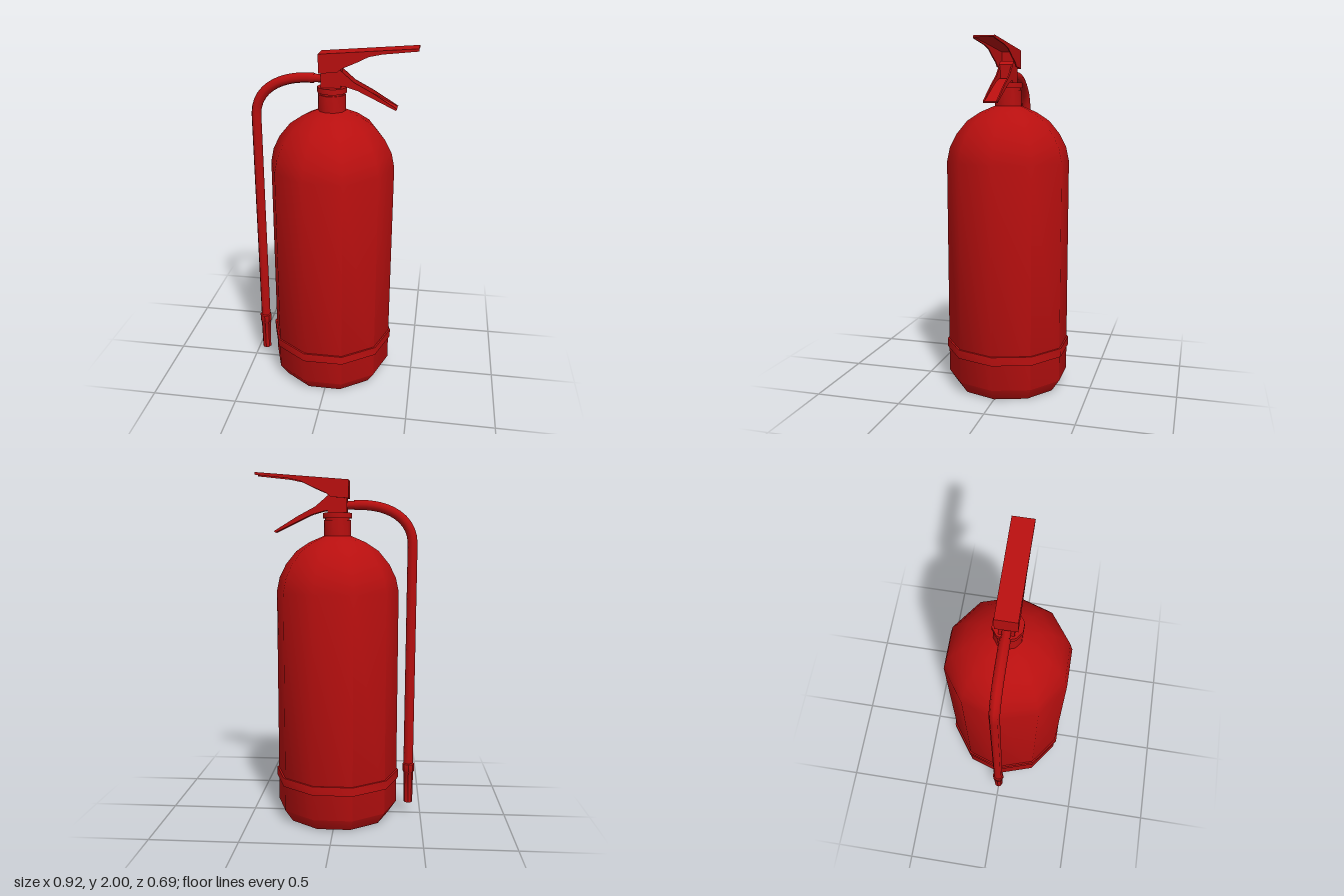
import * as THREE from 'three';
import { toCreasedNormals } from 'three/addons/utils/BufferGeometryUtils.js';

const red = new THREE.MeshStandardMaterial({ color: 0xb80f0f });
const redThin = new THREE.MeshStandardMaterial({ color: 0xb80f0f, side: THREE.DoubleSide });

export function createModel() {
  const model = new THREE.Group();

  const add = (name, geometry, material = red, parent = model) => {
    const mesh = new THREE.Mesh(geometry, material);
    mesh.name = name;
    parent.add(mesh);
    return mesh;
  };

  // Turned part with its corners on the x axis
  const lathe = (points, sides) => toCreasedNormals(
    new THREE.LatheGeometry(points.map(([r, y]) => new THREE.Vector2(r, y)), sides, Math.PI / 2), 0.7);

  // Side outline in x and y, extruded evenly about z = 0
  const plate = (points, depth) => {
    const shape = new THREE.Shape(points.map(([x, y]) => new THREE.Vector2(x, y)));
    return new THREE.ExtrudeGeometry(shape, { depth, bevelEnabled: false }).translate(0, 0, -depth / 2);
  };

  // Cylinder with chamfered foot and rounded shoulder
  add('tank', lathe([
    [0, 0], [0.305, 0], [0.353, 0.07], [0.353, 1.33], [0.336, 1.41], [0.298, 1.485],
    [0.237, 1.56], [0.162, 1.61], [0.08, 1.645], [0, 1.66],
  ], 10)).position.x = -0.003;

  // Raised band near the foot
  add('baseBand', lathe([
    [0.345, 0.218], [0.363, 0.218], [0.363, 0.268], [0.345, 0.268],
  ], 10)).position.x = -0.003;

  // Neck, groove and collar
  add('neck', lathe([
    [0.077, 1.63], [0.077, 1.735], [0.07, 1.735], [0.07, 1.745],
    [0.082, 1.745], [0.082, 1.775], [0, 1.775],
  ], 10)).position.x = -0.003;

  // Valve block
  add('valveBody', plate([
    [-0.06, 1.765], [0.05, 1.765], [0.05, 1.875], [0.02, 1.895], [-0.06, 1.87],
  ], 0.08));

  // Upper lever: channel open underneath
  const upper = new THREE.Group();
  upper.name = 'upperLever';
  model.add(upper);
  const upperSide = [
    [-0.07, 1.855], [0.03, 1.862], [0.06, 1.885], [0.14, 1.92], [0.2, 1.95],
    [0.27, 1.965], [0.46, 1.986], [0.46, 2], [-0.07, 1.957],
  ];
  for (const s of [-1, 1]) {
    add('upperLeverSide', plate(upperSide, 0.006), red, upper).position.z = s * 0.055;
  }
  add('upperLeverTop', plate([[-0.07, 1.949], [0.46, 1.992], [0.46, 2], [-0.07, 1.957]], 0.116), red, upper);
  add('upperLeverBack', plate([[-0.07, 1.855], [-0.062, 1.855], [-0.062, 1.957], [-0.07, 1.957]], 0.116), red, upper);

  // Lower lever: channel open on top
  const lower = new THREE.Group();
  lower.name = 'lowerLever';
  model.add(lower);
  const lowerSide = [
    [0.03, 1.79], [0.07, 1.785], [0.14, 1.765], [0.22, 1.727], [0.35, 1.664],
    [0.357, 1.673], [0.22, 1.757], [0.12, 1.81], [0.05, 1.87], [0.03, 1.87],
  ];
  for (const s of [-1, 1]) {
    add('lowerLeverSide', plate(lowerSide, 0.008), red, lower).position.z = s * 0.036;
  }
  add('lowerLeverFloor', plate([
    [0.03, 1.79], [0.07, 1.785], [0.14, 1.765], [0.22, 1.727], [0.35, 1.664],
    [0.355, 1.671], [0.22, 1.738], [0.14, 1.776], [0.07, 1.796], [0.03, 1.8],
  ], 0.076), red, lower);

  // Hose connector on the valve
  const connector = add('hoseConnector', new THREE.CylinderGeometry(0.023, 0.023, 0.08, 8));
  connector.rotation.z = Math.PI / 2;
  connector.position.set(-0.085, 1.818, 0);

  // Hose: bend out of the valve, then a straight drop
  const path = new THREE.CurvePath();
  const v = (x, y) => new THREE.Vector3(x, y, 0);
  path.add(new THREE.CubicBezierCurve3(v(-0.1, 1.818), v(-0.29, 1.83), v(-0.432, 1.745), v(-0.432, 1.6)));
  path.add(new THREE.LineCurve3(v(-0.432, 1.6), v(-0.426, 0.29)));
  add('hose', new THREE.TubeGeometry(path, 48, 0.028, 8), redThin);

  // Nozzle with a collar at the hose end
  add('nozzle', lathe([
    [0, 0.07], [0.026, 0.07], [0.029, 0.255], [0.035, 0.262], [0.035, 0.305], [0.026, 0.312],
  ], 8)).position.x = -0.427;

  return model;
}
